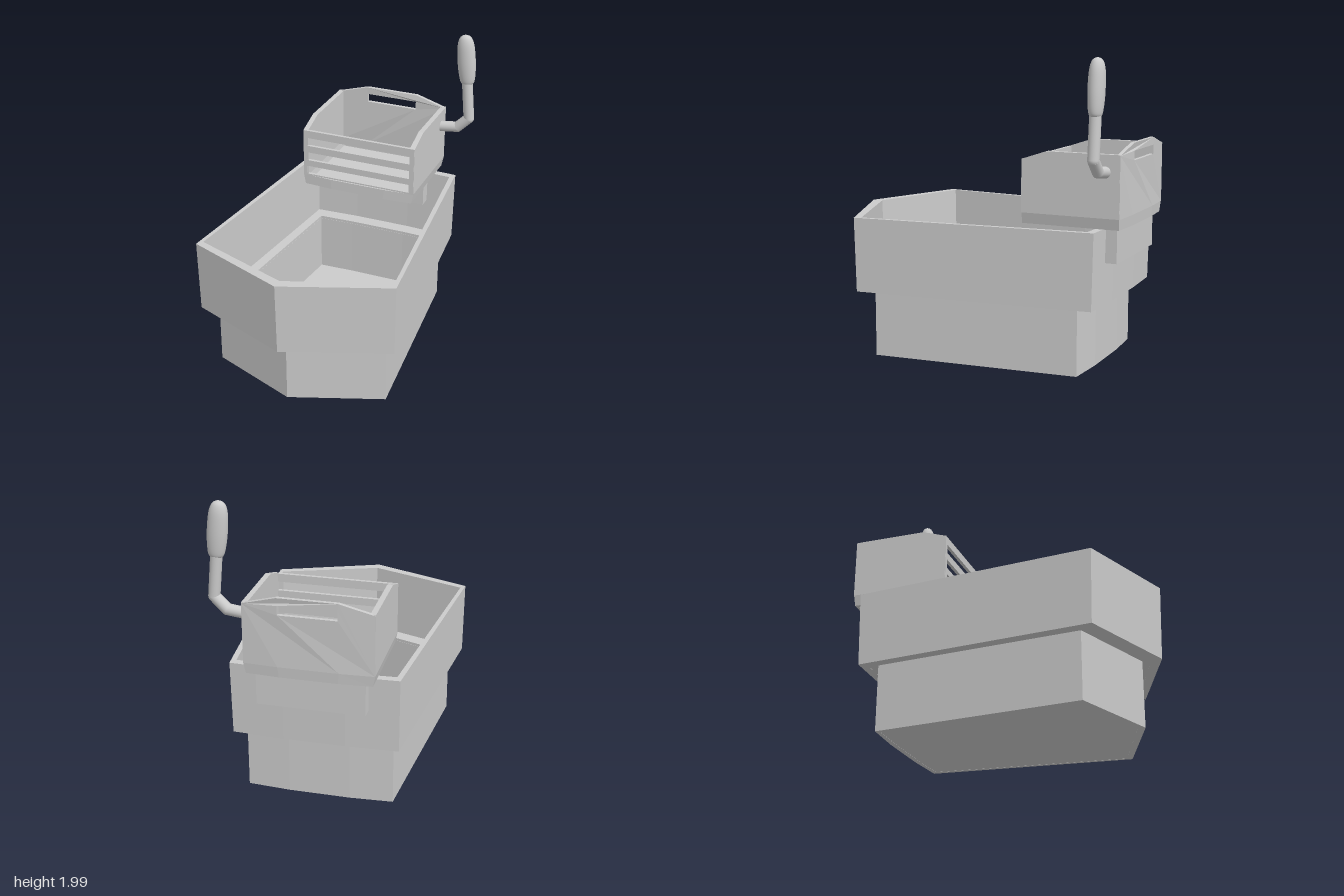
import * as THREE from 'three';

const mat = new THREE.MeshStandardMaterial({ color: 0xcccccc });

function add(parent, name, geometry) {
  const mesh = new THREE.Mesh(geometry, mat);
  mesh.name = name;
  parent.add(mesh);
  return mesh;
}

const toPoints = (list) => list.map(([x, y]) => new THREE.Vector2(x, y));

function panel(outline, holes, depth) {
  const shape = new THREE.Shape(toPoints(outline));
  for (const h of holes) shape.holes.push(new THREE.Path(toPoints(h)));
  return new THREE.ExtrudeGeometry(shape, { depth, bevelEnabled: false });
}

// Upright prism from an (x, z) plan, with an optional opening and a scaled foot
function prism(plan, opening, y0, y1, footX = 1, footZ = 1) {
  const flip = (p) => p.map(([x, z]) => [x, -z]);
  const g = panel(flip(plan), opening ? [flip(opening)] : [], y1 - y0);
  g.rotateX(-Math.PI / 2).translate(0, y0, 0);
  const p = g.attributes.position;
  for (let i = 0; i < p.count; i++) {
    if (p.getY(i) < y0 + 1e-4) p.setXYZ(i, p.getX(i) * footX, y0, p.getZ(i) * footZ);
  }
  g.computeVertexNormals();
  return g;
}

// Tub plan: pointed front, gently arched back
const tubPlan = (backX, backZ, arch, sideX, sideZ, tipZ) => [
  [0, tipZ], [sideX, sideZ], [backX, backZ], [0.2, backZ - arch],
  [-0.2, backZ - arch], [-backX, backZ], [-sideX, sideZ],
];

const rect = (x, y0, y1) => [[-x, y0], [x, y0], [x, y1], [-x, y1]];

function makeTub() {
  const tub = new THREE.Group();
  tub.name = 'tub';
  const upper = tubPlan(0.54, -0.87, 0.015, 0.69, 0.73, 1.0);
  const upperIn = tubPlan(0.51, -0.82, 0.015, 0.66, 0.69, 0.93);
  const lower = tubPlan(0.48, -0.745, 0.018, 0.6, 0.63, 0.86);
  const lowerIn = tubPlan(0.45, -0.72, 0.01, 0.575, 0.6, 0.81);
  add(tub, 'upperWall', prism(upper, upperIn, 0.44, 0.93, 0.993, 0.987));
  add(tub, 'ledge', prism(upperIn, lowerIn, 0.441, 0.46));
  add(tub, 'lowerWall', prism(lower, lowerIn, 0, 0.44));
  add(tub, 'floor', prism(lowerIn, null, 0.001, 0.03));
  return tub;
}

function makeCrate() {
  const crate = new THREE.Group();
  crate.name = 'crate';

  // Base rim with bulged ends and a tapered foot
  const base = [
    [-0.41, -0.335], [-0.2, -0.322], [0.2, -0.322], [0.41, -0.335],
    [0.41, -0.985], [0.19, -0.998], [-0.19, -0.998], [-0.41, -0.985],
  ];
  const inside = [[-0.375, -0.355], [0.375, -0.355], [0.375, -0.97], [-0.375, -0.97]];
  add(crate, 'baseRim', prism(base, inside, 0.93, 1.0, 0.965, 0.995));
  add(crate, 'crateFloor', prism(inside, null, 0.932, 0.955));

  // Sides, sloping down toward the front
  const sideProfile = [[0.335, 1], [0.985, 1], [0.985, 1.395], [0.5, 1.395], [0.335, 1.34]];
  for (const s of [1, -1]) {
    const g = panel(sideProfile, [], 0.035);
    g.rotateY(Math.PI / 2).translate(s > 0 ? 0.375 : -0.41, 0, 0);
    add(crate, s > 0 ? 'leftSide' : 'rightSide', g);
  }

  // Slatted front
  const gaps = [1.01, 1.115, 1.225].map((y) => rect(0.38, y, y + 0.06));
  const front = panel(rect(0.408, 0.999, 1.34), gaps, 0.022);
  add(crate, 'slattedFront', front.translate(0, 0, -0.354));

  // Back with grip opening, bowed slightly outward
  const backOutline = [
    [-0.409, 1], [-0.19, 1], [0.19, 1], [0.409, 1],
    [0.409, 1.39], [0.19, 1.45], [-0.19, 1.45], [-0.409, 1.39],
  ];
  const back = panel(backOutline, [rect(0.185, 1.34, 1.4)], 0.025);
  const p = back.attributes.position;
  for (let i = 0; i < p.count; i++) {
    const bow = Math.min(1, (0.409 - Math.abs(p.getX(i))) / 0.22);
    p.setZ(i, p.getZ(i) - 0.987 - 0.012 * bow);
  }
  back.computeVertexNormals();
  add(crate, 'back', back);

  // Block straddling the tub's rear wall
  const block = new THREE.BoxGeometry(0.69, 0.225, 0.21);
  add(crate, 'mountingBlock', block.translate(0, 0.8225, -0.845));
  return crate;
}

function makeCrank() {
  const crank = new THREE.Group();
  crank.name = 'crank';
  crank.position.z = -0.89;
  const r = 0.037;
  const path = [[0.39, 1.283], [0.53, 1.3], [0.61, 1.38], [0.583, 1.67]]
    .map(([x, y]) => new THREE.Vector3(x, y, 0));
  const up = new THREE.Vector3(0, 1, 0);
  for (let i = 0; i < path.length - 1; i++) {
    const dir = path[i + 1].clone().sub(path[i]);
    const rod = add(crank, 'rod', new THREE.CylinderGeometry(r, r, dir.length(), 20));
    rod.position.copy(path[i]).addScaledVector(dir, 0.5);
    rod.quaternion.setFromUnitVectors(up, dir.normalize());
    if (i > 0) add(crank, 'elbow', new THREE.SphereGeometry(r, 20, 12)).position.copy(path[i]);
  }

  // Rounded grip, flatter from front to back
  const curve = new THREE.SplineCurve(toPoints([
    [0.035, 0], [0.048, 0.015], [0.057, 0.06], [0.063, 0.14], [0.062, 0.23],
    [0.056, 0.29], [0.042, 0.33], [0.022, 0.347], [0, 0.352],
  ]));
  const profile = [new THREE.Vector2(0, 0), ...curve.getPoints(28)];
  for (const q of profile) q.x = Math.max(0, q.x);
  const grip = add(crank, 'grip', new THREE.LatheGeometry(profile, 28));
  grip.scale.z = 0.82;
  grip.rotation.z = 0.09;
  grip.position.set(0.587, 1.635, 0);
  return crank;
}

export function createModel() {
  const model = new THREE.Group();
  model.name = 'tubWithCrateAndCrank';
  model.add(makeTub(), makeCrate(), makeCrank());
  return model;
}
